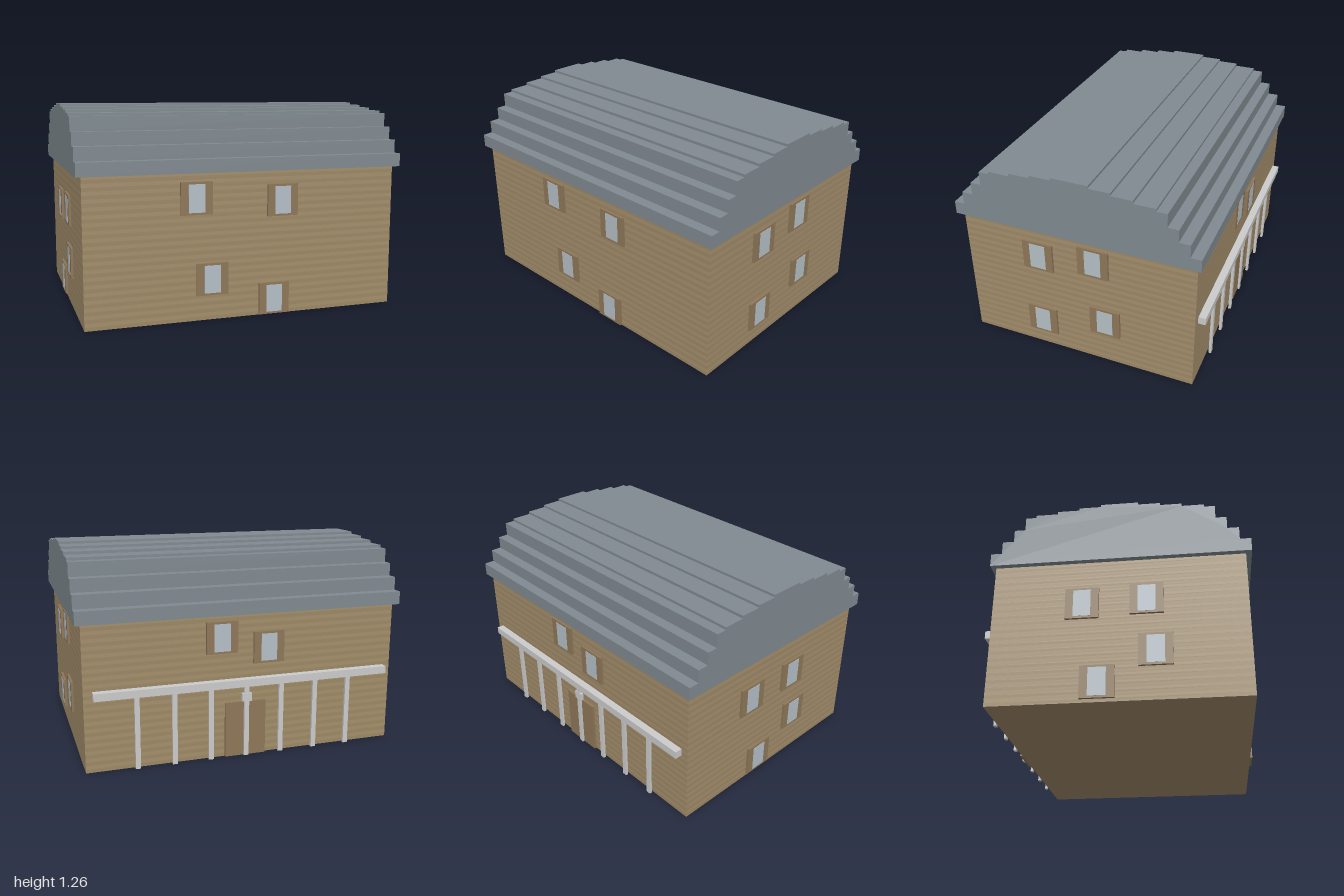
import * as THREE from 'three';

const paint = (color) => new THREE.MeshStandardMaterial({ color });
const MAT = {
  wallA: paint(0xa48f6c), wallB: paint(0x9d8866), roof: paint(0x808a90),
  frame: paint(0x8e7758), pane: paint(0xb5c0c7), grey: paint(0xcccccc),
};
const WALL = { x: 0.967, front: 0.735, back: -0.72, height: 0.88 };

// Box given by its two extreme corners
function box(name, mat, [x0, y0, z0], [x1, y1, z1]) {
  const mesh = new THREE.Mesh(new THREE.BoxGeometry(x1 - x0, y1 - y0, z1 - z0), mat);
  mesh.position.set((x0 + x1) / 2, (y0 + y1) / 2, (z0 + z1) / 2);
  mesh.name = name;
  return mesh;
}

// Horizontal timber courses in two close shades
function makeWalls() {
  const walls = new THREE.Group();
  walls.name = 'walls';
  const courses = 40, h = WALL.height / courses;
  for (let i = 0; i < courses; i++) {
    walls.add(box('timberCourse', i % 2 ? MAT.wallA : MAT.wallB,
      [-WALL.x, i * h, WALL.back], [WALL.x, (i + 1) * h, WALL.front]));
  }
  return walls;
}

// Stepped barrel roof: one stair profile run along x
function makeRoof() {
  const centre = 0.01, eaves = 0.875;
  const steps = [[0.758, 0.955], [0.694, 1.035], [0.627, 1.113], [0.563, 1.197],
    [0.5, 1.213], [0.37, 1.23], [0.241, 1.245], [0.112, 1.26]]; // half width, top
  const shape = new THREE.Shape();
  shape.moveTo(centre - steps[0][0], eaves);
  shape.lineTo(centre + steps[0][0], eaves);
  steps.forEach(([w, top], i) => {
    shape.lineTo(centre + w, top);
    if (i < steps.length - 1) shape.lineTo(centre + steps[i + 1][0], top);
  });
  [...steps].reverse().forEach(([w, top], i, list) => {
    shape.lineTo(centre - w, top);
    if (i < list.length - 1) shape.lineTo(centre - w, list[i + 1][1]);
  });
  const geo = new THREE.ExtrudeGeometry(shape, { depth: 2, bevelEnabled: false });
  geo.rotateY(-Math.PI / 2).translate(1, 0, 0);
  const roof = new THREE.Mesh(geo, MAT.roof);
  roof.name = 'roof';
  return roof;
}

// Square frame with a tall pane, facing +z
function makeWindow(u, y) {
  const win = new THREE.Group();
  win.name = 'window';
  win.add(box('windowFrame', MAT.frame, [-0.096, -0.096, -0.01], [0.096, 0.096, 0.015]));
  win.add(box('windowPane', MAT.pane, [-0.05, -0.083, 0], [0.05, 0.083, 0.0165]));
  win.position.set(u, y, 0);
  return win;
}

// Windows of one wall, as [sideways, height] seen from outside
function makeFacade(name, turn, distance, windows) {
  const facade = new THREE.Group();
  facade.name = name;
  for (const [u, y] of windows) facade.add(makeWindow(u, y));
  facade.rotation.y = turn;
  facade.position.set(Math.sin(turn) * distance, 0, Math.cos(turn) * distance);
  return facade;
}

// Beam on seven posts along the back wall
function makePorch() {
  const porch = new THREE.Group();
  porch.name = 'porch';
  porch.add(box('porchBeam', MAT.grey, [-0.92, 0.44, -0.765], [0.915, 0.486, WALL.back]));
  for (let i = -3; i <= 3; i++) {
    const x = i * 0.222;
    porch.add(box('porchPost', MAT.grey, [x - 0.015, 0, -0.748], [x + 0.015, 0.445, -0.732]));
  }
  porch.add(box('lamp', MAT.grey, [-0.03, 0.345, -0.75], [0.03, 0.395, -0.73]));
  return porch;
}

export function createModel() {
  const model = new THREE.Group();
  model.name = 'house';
  model.add(makeWalls(), makeRoof(), makePorch());
  model.add(box('door', MAT.frame, [-0.125, 0, -0.735], [0.13, 0.34, -0.71]));
  model.add(
    makeFacade('frontWindows', 0, WALL.front,
      [[-0.31, 0.728], [0.225, 0.697], [-0.215, 0.247], [0.175, 0.1]]),
    makeFacade('leftWindows', Math.PI / 2, WALL.x,
      [[-0.254, 0.683], [0.1, 0.73], [0.165, 0.308], [-0.254, 0.198]]),
    makeFacade('rightWindows', -Math.PI / 2, WALL.x,
      [[-0.2, 0.602], [0.167, 0.614], [0.215, 0.295], [-0.105, 0.116]]),
    makeFacade('backWindows', Math.PI, -WALL.back,
      [[-0.15, 0.743], [0.143, 0.667]]),
  );
  return model;
}
